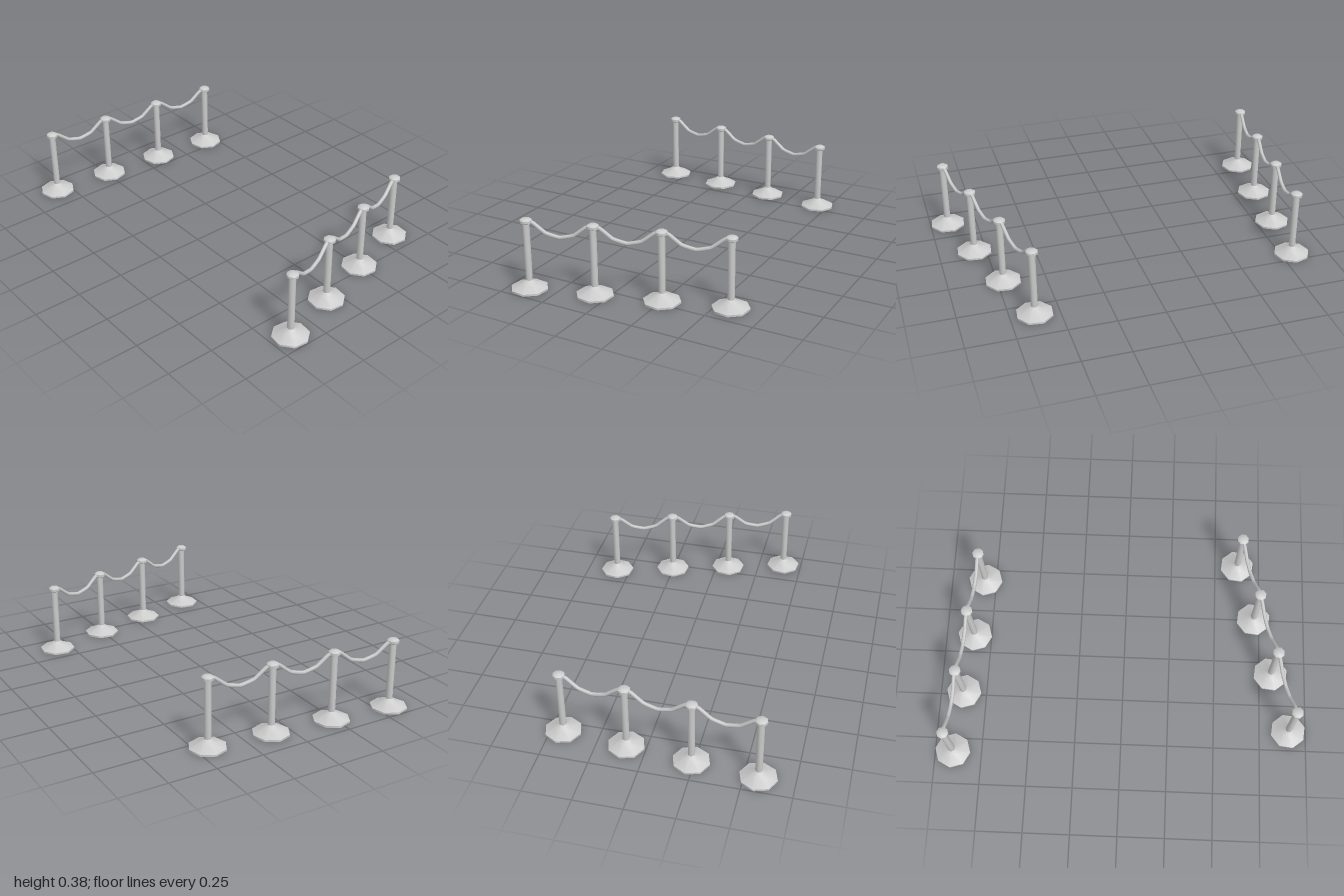
import * as THREE from 'three';
import { toCreasedNormals } from 'three/addons/utils/BufferGeometryUtils.js';

const material = new THREE.MeshStandardMaterial({ color: 0xcccccc });
const POSTS = 4;

// Lathe of (radius, height) pairs with eight sides
function turned(profile) {
  const points = profile.map(([r, y]) => new THREE.Vector2(r, y));
  return toCreasedNormals(new THREE.LatheGeometry(points, 8), 0.9);
}

function part(name, geometry, parent, z) {
  const mesh = new THREE.Mesh(geometry, material);
  mesh.name = name;
  mesh.position.z = z;
  parent.add(mesh);
}

// One row of posts joined by sagging ropes, running along local +z
function makeRow(name, start, end) {
  const row = new THREE.Group();
  row.name = name;
  row.position.copy(start);
  row.rotation.y = Math.atan2(end.x - start.x, end.z - start.z);
  const gap = start.distanceTo(end) / (POSTS - 1);

  const base = turned([[0, 0], [0.095, 0], [0.095, 0.01], [0.036, 0.036], [0.018, 0.05]]);
  const pole = turned([[0.018, 0.04], [0.018, 0.352]]);
  const cap = turned([[0, 0.347], [0.018, 0.347], [0.031, 0.354], [0.031, 0.367], [0.02, 0.375], [0, 0.376]]);

  // Rope hangs from cap to cap in nearly straight runs
  const sag = [[0, 0.363], [0.09, 0.358], [0.29, 0.306], [0.5, 0.289], [0.71, 0.306], [0.91, 0.358], [1, 0.363]];
  const path = new THREE.CatmullRomCurve3(
    sag.map(([t, y]) => new THREE.Vector3(0, y, t * gap)), false, 'catmullrom', 0.15);
  const rope = new THREE.TubeGeometry(path, 20, 0.01, 6);

  for (let i = 0; i < POSTS; i++) {
    part('base', base, row, i * gap);
    part('pole', pole, row, i * gap);
    part('cap', cap, row, i * gap);
    if (i < POSTS - 1) part('rope', rope, row, i * gap);
  }
  return row;
}

export function createModel() {
  const model = new THREE.Group();
  model.name = 'ropeBarriers';
  model.add(
    makeRow('rightBarrier', new THREE.Vector3(-0.81, 0, -0.437), new THREE.Vector3(-0.905, 0, 0.57)),
    makeRow('leftBarrier', new THREE.Vector3(0.625, 0, -0.577), new THREE.Vector3(0.905, 0, 0.393)));
  return model;
}
